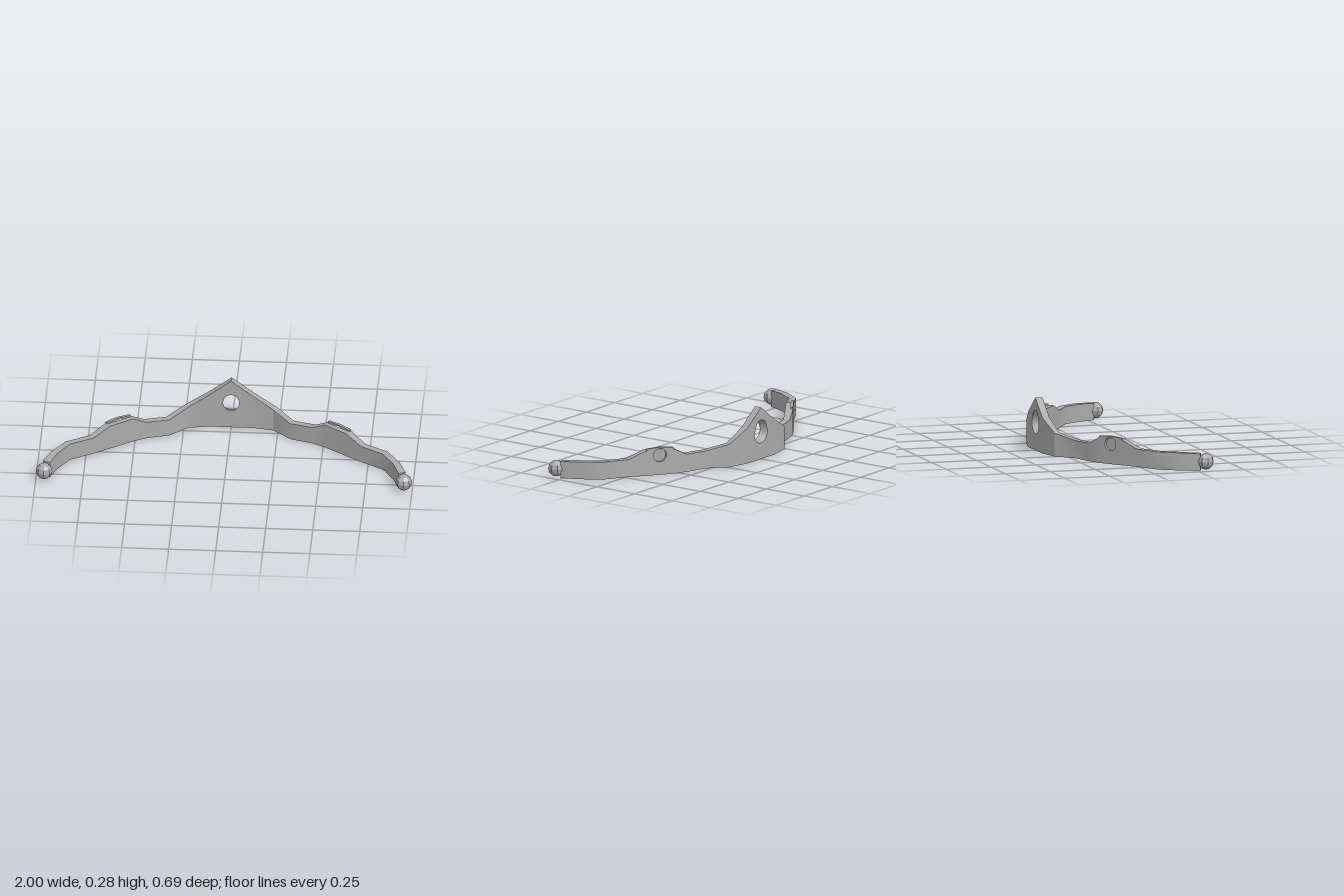
import * as THREE from 'three';
import { mergeGeometries, toCreasedNormals } from 'three/addons/utils/BufferGeometryUtils.js';

// Stations along the left half of the band: x, z, top height, half thickness
const HALF = [
  [0.12, -0.322, 0.195, 0.02],
  [0.235, -0.298, 0.128, 0.018],
  [0.33, -0.212, 0.098, 0.018],
  [0.45, -0.175, 0.1, 0.018],
  [0.52, -0.14, 0.14, 0.021],
  [0.64, -0.055, 0.14, 0.021],
  [0.72, 0.005, 0.098, 0.018],
  [0.845, 0.08, 0.098, 0.018],
  [0.91, 0.185, 0.097, 0.019],
  [0.945, 0.275, 0.093, 0.02],
];
const STATIONS = [...HALF.map(([x, ...rest]) => [-x, ...rest]).reverse(), ...HALF];
const BOTTOM = 0.003;

// Direction across the band at a station, pointing to the inside of the arc
function across(i) {
  const a = STATIONS[Math.max(i - 1, 0)];
  const b = STATIONS[Math.min(i + 1, STATIONS.length - 1)];
  return new THREE.Vector2(a[1] - b[1], b[0] - a[0]).normalize();
}

// Extrudes one flat piece and bends it onto the arc; d runs from -1 (outside) to 1 (inside)
function piece(i, outline, d0, d1, hole) {
  const shape = new THREE.Shape(outline.map(([x, y]) => new THREE.Vector2(x, y)));
  if (hole) {
    const ring = new THREE.Path();
    ring.absellipse(hole.x, hole.y, hole.rx, hole.ry, 0, Math.PI * 2, true);
    shape.holes.push(ring);
  }
  const geo = new THREE.ExtrudeGeometry(shape, { depth: d1 - d0, bevelEnabled: false, curveSegments: 20 });
  const a = STATIONS[i], b = STATIONS[i + 1], na = across(i), nb = across(i + 1);
  const pos = geo.attributes.position;
  for (let k = 0; k < pos.count; k++) {
    let x = pos.getX(k), y = pos.getY(k);
    const d = pos.getZ(k) + d0;
    // Flare the hole towards the outside
    if (hole && d < 0 && Math.hypot((x - hole.x) / hole.rx, (y - hole.y) / hole.ry) < 1.02) {
      x = hole.x + (x - hole.x) * hole.flare;
      y = hole.y + (y - hole.y) * hole.flare;
    }
    const t = (x - a[0]) / (b[0] - a[0]);
    const n = na.clone().lerp(nb, t);
    const off = d * THREE.MathUtils.lerp(a[3], b[3], t);
    pos.setXYZ(k, x + n.x * off, y, THREE.MathUtils.lerp(a[1], b[1], t) + n.y * off);
  }
  geo.deleteAttribute('uv');
  geo.deleteAttribute('normal');
  return geo.index ? geo.toNonIndexed() : geo;
}

export function createModel() {
  const group = new THREE.Group();
  const metal = new THREE.MeshStandardMaterial({ color: 0xaaaaaa });
  const add = (name, geo) => {
    const mesh = new THREE.Mesh(geo, metal);
    mesh.name = name;
    group.add(mesh);
    return mesh;
  };

  const band = [];
  for (let i = 0; i < STATIONS.length - 1; i++) {
    const a = STATIONS[i], b = STATIONS[i + 1];
    const mid = (a[0] + b[0]) / 2;
    const base = [[a[0], BOTTOM], [b[0], BOTTOM]];
    const quad = [...base, [b[0], b[2]], [a[0], a[2]]];
    if (Math.abs(mid) < 0.01) {
      // Central peak with a flared through hole
      const peak = [...base, [b[0], b[2]], [0, 0.285], [a[0], a[2]]];
      band.push(piece(i, peak, -1, 1, { x: 0, y: 0.153, rx: 0.043, ry: 0.047, flare: 1.35 }));
    } else if (Math.abs(Math.abs(mid) - 0.58) < 0.01) {
      // Side bump: solid inner layer, taller outer layer with a round socket
      const tall = [...base, [b[0], 0.148], [mid, 0.154], [a[0], 0.148]];
      band.push(piece(i, quad, -0.3, 1));
      band.push(piece(i, tall, -1, -0.3, { x: mid, y: 0.11, rx: 0.029, ry: 0.036, flare: 1 }));
    } else {
      band.push(piece(i, quad, -1, 1));
    }
  }
  add('band', toCreasedNormals(mergeGeometries(band), 0.5));

  // Faceted knobs at both ends
  for (const side of [-1, 1]) {
    const knob = new THREE.SphereGeometry(0.044, 8, 6).toNonIndexed();
    knob.computeVertexNormals();
    add(side > 0 ? 'leftEndKnob' : 'rightEndKnob', knob).position.set(side * 0.956, 0.051, 0.3);
  }
  return group;
}
